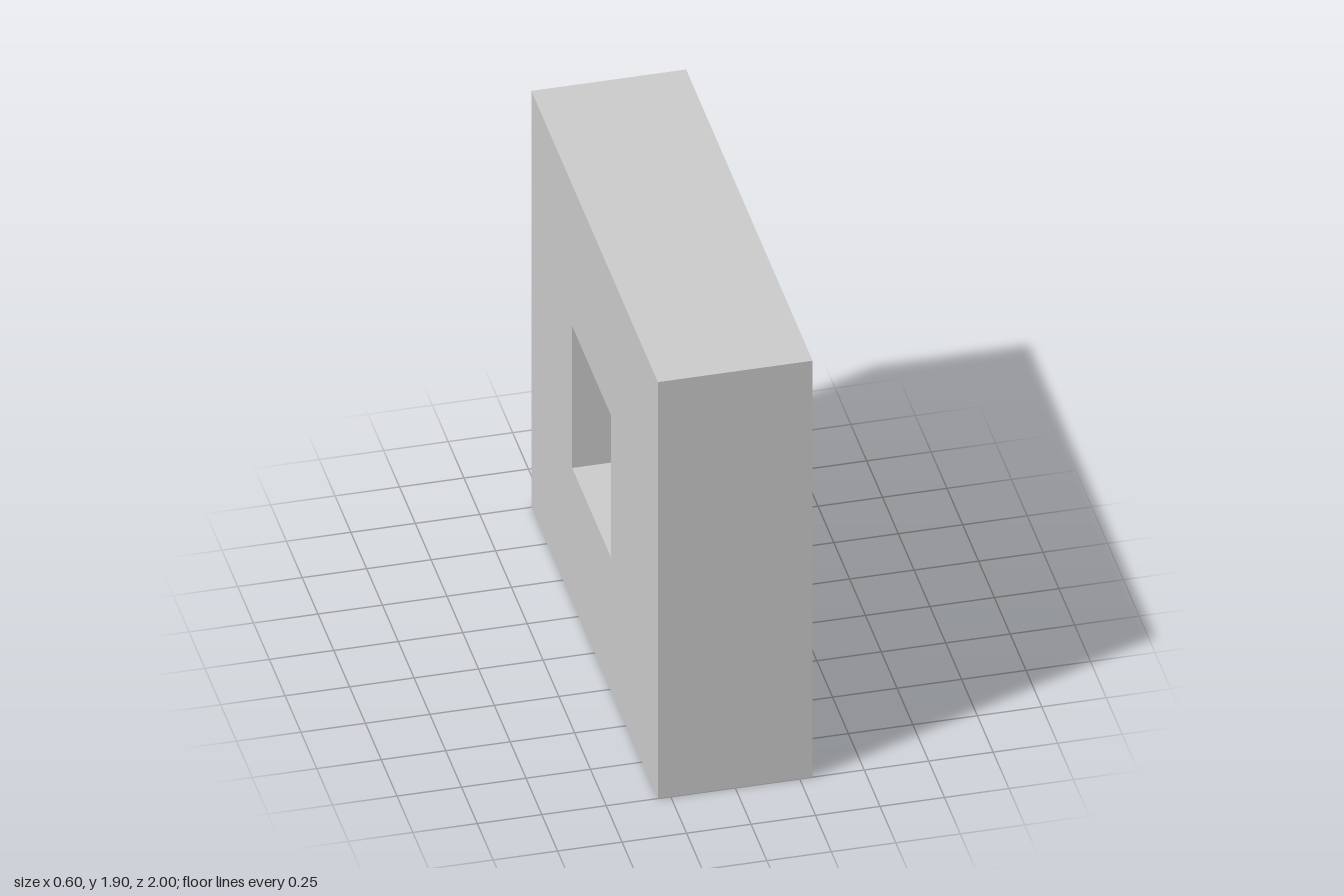
import * as THREE from 'three';

const WIDTH = 0.6;

// Adds a closed rectangle to a shape or path
function rectangle(path, x0, y0, x1, y1) {
  path.moveTo(x0, y0);
  path.lineTo(x1, y0);
  path.lineTo(x1, y1);
  path.lineTo(x0, y1);
  path.closePath();
  return path;
}

export function createModel() {
  const group = new THREE.Group();
  group.name = 'windowedBlock';

  // Side profile: shape x runs along the model's z, with a slightly off-centre opening
  const profile = rectangle(new THREE.Shape(), -1, 0, 1, 1.9);
  profile.holes.push(rectangle(new THREE.Path(), -0.355, 0.608, 0.255, 1.256));

  // Extrude across the width, then turn the profile to face sideways
  const geometry = new THREE.ExtrudeGeometry(profile, { depth: WIDTH, bevelEnabled: false });
  geometry.translate(0, 0, -WIDTH / 2);
  geometry.rotateY(-Math.PI / 2);

  const block = new THREE.Mesh(
    geometry,
    new THREE.MeshStandardMaterial({ color: 0xcccccc, flatShading: true })
  );
  block.name = 'blockWithOpening';
  group.add(block);
  return group;
}
